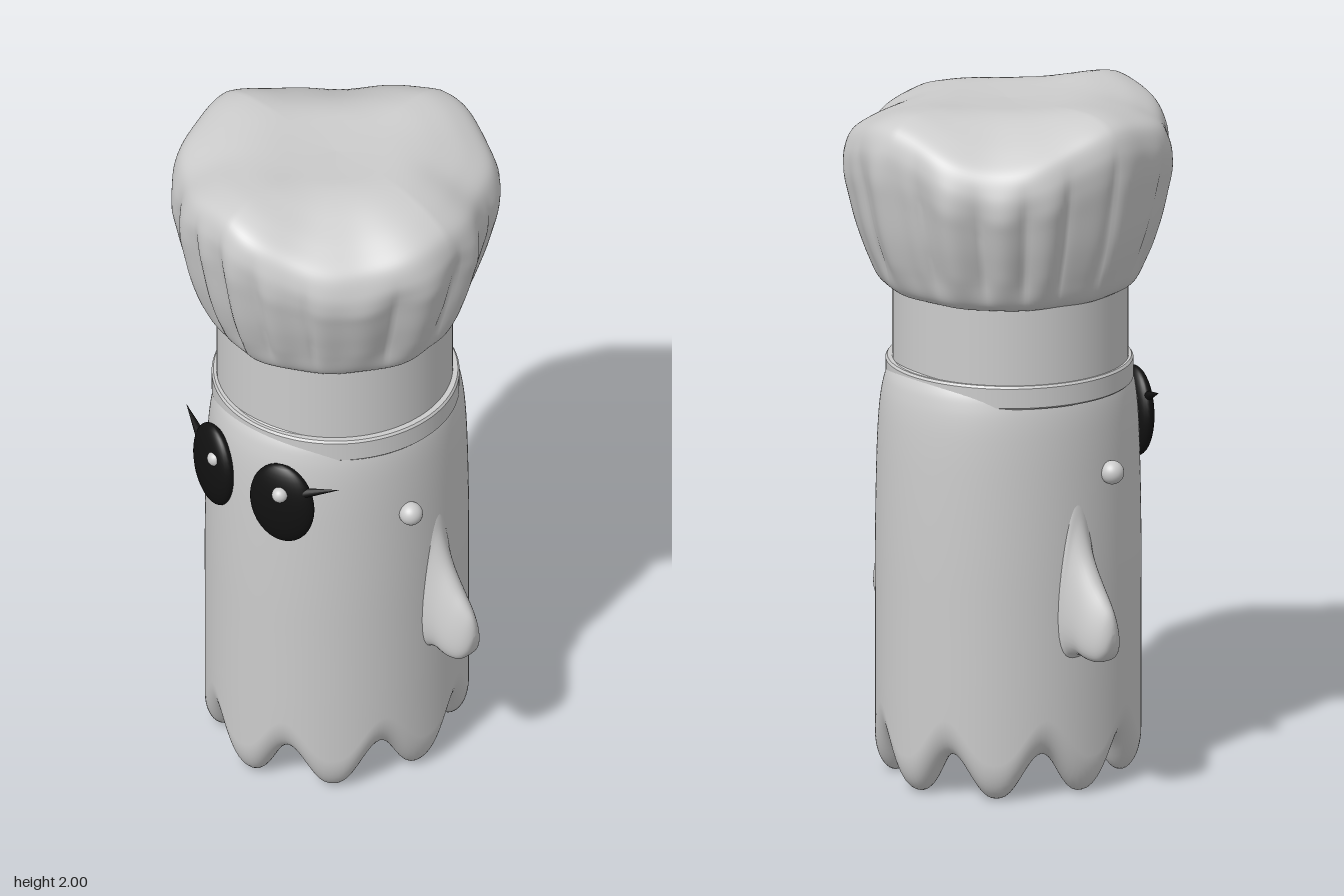
import * as THREE from 'three';

const { smoothstep } = THREE.MathUtils;
const grey = new THREE.MeshStandardMaterial({ color: 0xcccccc });
const black = new THREE.MeshStandardMaterial({ color: 0x111111 });

// Closed loops of points, skinned from row to row; point(row, angle) gives [x, y, z]
function loft(rows, segments, point) {
  const pos = [], index = [];
  rows.forEach((row, i) => {
    for (let j = 0; j < segments; j++) {
      pos.push(...point(row, (j / segments) * Math.PI * 2));
      if (i === 0) continue;
      const k = (j + 1) % segments, lo = (i - 1) * segments, hi = i * segments;
      index.push(lo + j, lo + k, hi + j, lo + k, hi + k, hi + j);
    }
  });
  const g = new THREE.BufferGeometry();
  g.setAttribute('position', new THREE.Float32BufferAttribute(pos, 3));
  g.setIndex(index);
  g.computeVertexNormals();
  return g;
}

// Smooth curve through points given as [x, y] or [x, y, z]
function smooth(points, n) {
  const curve = new THREE.CatmullRomCurve3(points.map(([a, b, c = 0]) => new THREE.Vector3(a, b, c)), false, 'centripetal');
  return curve.getPoints(n);
}

function add(parent, name, geometry, material, x = 0, y = 0, z = 0) {
  const m = new THREE.Mesh(geometry, material);
  m.name = name;
  m.position.set(x, y, z);
  parent.add(m);
  return m;
}

// Oval body: hollow underneath, rounded hem with eight lobes, domed top
function bodyGeometry() {
  const rows = [{ inset: 0.355, y: 0.36 }, { inset: 0.2, y: 0.34 }, { inset: 0.12, y: 0.29 }];
  for (let i = 0; i <= 20; i++) {
    const a = (i / 20) * Math.PI;
    rows.push({ inset: 0.055 + 0.055 * Math.cos(a), hem: 0.11 * (1 - Math.sin(a)) });
  }
  const wall = [[0, 0.3], [0, 0.5], [0, 0.7], [0.003, 0.9], [0.007, 1.02], [0.013, 1.1],
    [0.021, 1.15], [0.033, 1.19], [0.06, 1.23], [0.13, 1.27], [0.24, 1.3], [0.355, 1.305]];
  smooth(wall, 50).forEach(p => rows.push({ inset: p.x, y: p.y }));
  return loft(rows, 160, (row, t) => {
    const notch = 0.125 * Math.pow((1 - Math.cos(8 * t)) / 2, 1.25);
    const k = 1 - Math.min(row.inset, 0.355) / 0.355;
    const y = row.hem === undefined ? row.y : notch + row.hem;
    return [0.355 * k * Math.sin(t), y, 0.01 + 0.394 * k * Math.cos(t)];
  });
}

// Flipper arm for the +x side: teardrop slices from a flared root to a round tip
function armGeometry() {
  // distance in x, bottom, top
  const slices = [[0.315, 0.39, 0.96], [0.345, 0.405, 0.88], [0.36, 0.417, 0.8], [0.39, 0.425, 0.715], [0.43, 0.417, 0.645],
    [0.465, 0.42, 0.597], [0.485, 0.443, 0.565], [0.494, 0.475, 0.535], [0.497, 0.504, 0.507]];
  return loft(smooth(slices, 40), 40, ({ x, y: bottom, z: top }, t) => {
    const width = x > 0.4
      ? 0.067 * Math.sqrt(Math.max(0, 1 - ((x - 0.4) / 0.097) ** 2))
      : 0.067 + 0.012 * ((0.4 - x) / 0.07) ** 2;
    const u = (1 - Math.cos(t)) / 2;
    return [x, bottom + (top - bottom) * Math.pow(u, 1.5), -0.035 - width * Math.sin(t) * (1.1 - 0.35 * u)];
  });
}

// Puffed crown of the hat: broad uneven pleats, with shoulders that slump at the corners
function crownGeometry() {
  const profile = [[0.28, 1.45], [0.328, 1.44], [0.358, 1.46], [0.388, 1.53], [0.42, 1.63], [0.442, 1.74],
    [0.456, 1.83], [0.455, 1.9], [0.43, 1.957], [0.37, 1.985], [0.28, 1.992], [0.15, 1.982], [0, 1.975]];
  return loft(smooth(profile, 80), 240, (p, t) => {
    const fade = smoothstep(p.y, 1.43, 1.56) * (1 - smoothstep(p.y, 1.78, 1.95));
    const rim = smoothstep(p.x, 0.15, 0.47);
    const lean = t + 0.1 * (p.y - 1.45) * Math.sin(2 * t + 1);
    const pleat = Math.pow(Math.abs(Math.sin(8.5 * lean + 1.1 * Math.sin(3 * t))), 0.7) - 0.65
      + 0.25 * Math.sin(19 * lean + 2 * Math.sin(2 * t));
    const wobble = 0.006 * Math.sin(5 * t + 1) + 0.005 * Math.sin(11 * t)
      - 0.02 * Math.exp(-(((t - 2.05) / 0.28) ** 2));
    const r = p.x + 0.02 * fade * pleat + rim * wobble;
    const x = r * Math.sin(t), z = 1.02 * r * Math.cos(t);
    const slump = 0.05 * (1 - Math.cos(4 * t)) / 2 + 0.05 * Math.max(0, Math.sin(2 * t))
      + 0.06 * Math.exp(-(((t - 1.75) / 0.6) ** 2));
    const high = smoothstep(p.y, 1.55, 1.93);
    return [x - 0.01, p.y - high * (0.015 * x + rim * slump), z + 0.002];
  });
}

export function createModel() {
  const model = new THREE.Group();
  model.name = 'chefGhost';
  add(model, 'body', bodyGeometry(), grey);

  // Arms
  const arm = armGeometry();
  const mirrored = arm.clone().scale(-1, 1, 1);
  mirrored.setIndex(Array.from(arm.index.array).reverse());
  mirrored.computeVertexNormals();
  add(model, 'leftArm', arm, grey);
  add(model, 'rightArm', mirrored, grey);

  const ball = new THREE.SphereGeometry(1, 32, 20);
  for (const [side, s] of [['left', 1], ['right', -1]]) {
    add(model, side + 'Knob', ball, grey, s * 0.358, 0.93, 0.083).scale.setScalar(0.034);

    // Eye with highlight and a single lash
    const eye = add(model, side + 'Eye', ball, black, s * 0.133, 1.012, 0.375);
    eye.scale.set(0.1, 0.131, 0.038);
    eye.rotation.y = s * 0.3;
    add(model, side + 'EyeHighlight', ball, grey, s > 0 ? 0.152 : -0.1, 1.064, 0.405).scale.setScalar(0.023);
    const from = new THREE.Vector3(s * 0.195, 1.068, 0.362), to = new THREE.Vector3(s * 0.298, 1.106, 0.315);
    const dir = to.clone().sub(from);
    const lash = add(model, side + 'Lash', new THREE.ConeGeometry(0.016, dir.length(), 12), black);
    lash.position.copy(from).addScaledVector(dir, 0.5);
    lash.quaternion.setFromUnitVectors(new THREE.Vector3(0, 1, 0), dir.normalize());
  }

  // Hat: brim ring, straight band and pleated crown
  const hat = new THREE.Group();
  hat.name = 'hat';
  model.add(hat);
  const lathe = pts => new THREE.LatheGeometry(pts.map(([x, y]) => new THREE.Vector2(x, y)), 96);
  add(hat, 'brim', lathe([[0.3, 1.15], [0.346, 1.15], [0.346, 1.15], [0.351, 1.155], [0.351, 1.155],
    [0.351, 1.212], [0.351, 1.212], [0.346, 1.219], [0.346, 1.219], [0.3, 1.219]]), grey, -0.003, 0, 0.012);
  add(hat, 'band', lathe([[0.335, 1.18], [0.335, 1.46]]), grey, -0.009, 0, 0.01);
  add(hat, 'crown', crownGeometry(), grey);
  return model;
}
